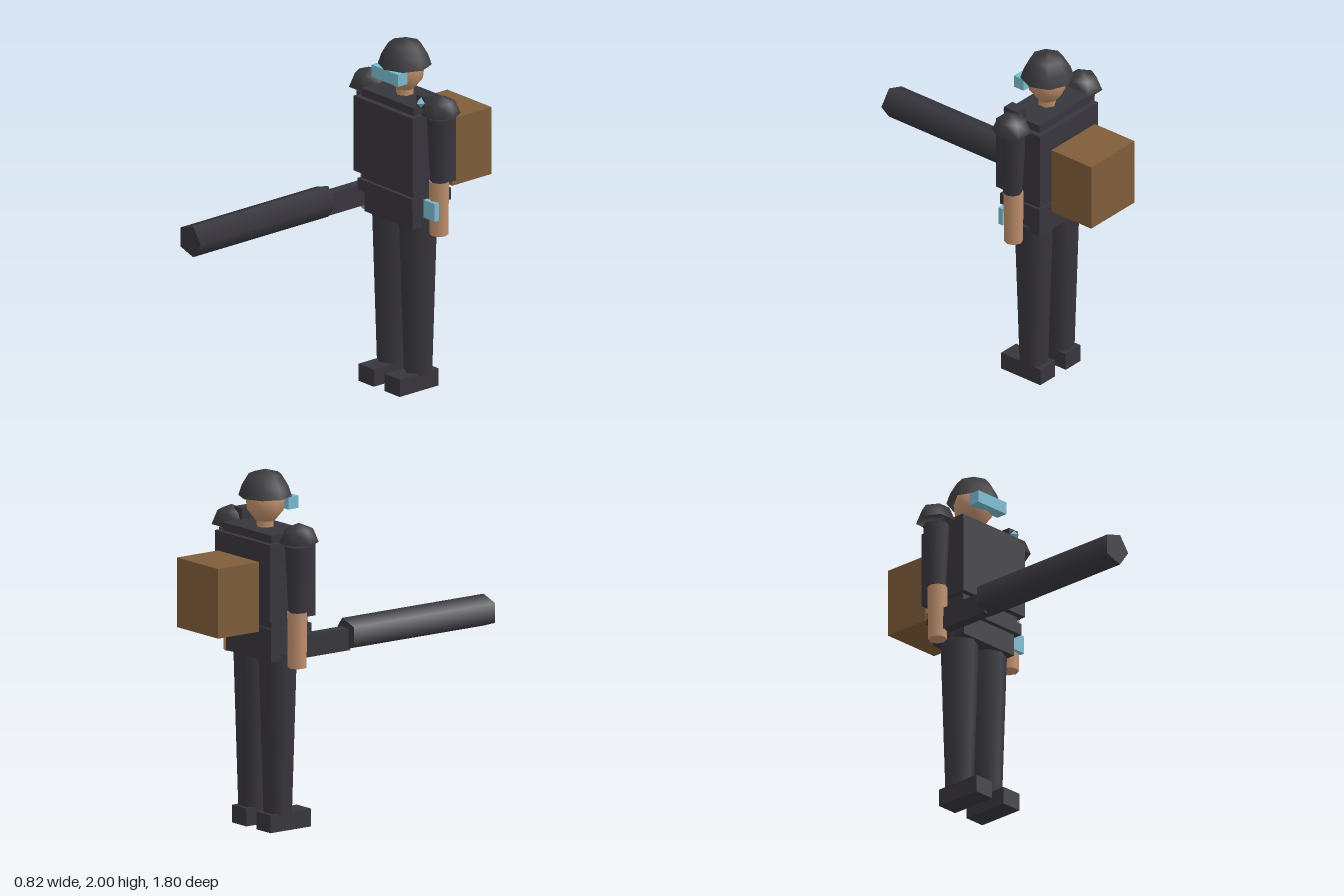
import * as THREE from 'three';

const mat = (name, color, side = THREE.FrontSide) => {
  const m = new THREE.MeshStandardMaterial({ color, side });
  m.name = name;
  return m;
};

export function createModel() {
  const root = new THREE.Group();
  root.name = 'armouredFigure';

  const armour = mat('armour charcoal', 0x38363d);
  const shell = mat('helmet charcoal', 0x3a3a3e, THREE.DoubleSide);
  const skin = mat('skin', 0xc08f6c);
  const glow = mat('cyan glass', 0x78bccf);
  const leather = mat('pack brown', 0x7f5d3a);
  const Z = -0.43; // depth of the body's axis

  const add = (name, geometry, material, x = 0, y = 0, z = 0) => {
    const mesh = new THREE.Mesh(geometry, material);
    mesh.name = name;
    mesh.position.set(x, y, z);
    root.add(mesh);
    return mesh;
  };
  // box given by its limits on each axis
  const box = (name, material, [x0, x1], [y0, y1], [z0, z1]) =>
    add(name, new THREE.BoxGeometry(x1 - x0, y1 - y0, z1 - z0), material,
      (x0 + x1) / 2, (y0 + y1) / 2, (z0 + z1) / 2);
  // upright tapered limb between two heights
  const limb = (name, material, x, y0, y1, rBottom, rTop, sides) =>
    add(name, new THREE.CylinderGeometry(rTop, rBottom, y1 - y0, sides), material, x, (y0 + y1) / 2, Z);
  const lathe = (name, material, points, sides) =>
    add(name, new THREE.LatheGeometry(points.map(([r, y]) => new THREE.Vector2(r, y)), sides), material, 0, 0, Z);

  // head
  lathe('helmet', shell, [[0.148, 1.85], [0.128, 1.91], [0.09, 1.973], [0, 2]], 8);
  lathe('head', skin, [[0, 1.70], [0.055, 1.715], [0.1, 1.77], [0.108, 1.84], [0.08, 1.92], [0, 1.94]], 8);
  limb('neck', skin, 0, 1.66, 1.75, 0.05, 0.05, 6);
  box('visor', glow, [-0.11, 0.11], [1.78, 1.85], [-0.355, -0.285]);

  // trunk
  box('torso', armour, [-0.215, 0.215], [1.15, 1.68], [-0.555, -0.305]);
  box('chestArmour', armour, [-0.245, 0.245], [1.2, 1.635], [-0.587, -0.272]);
  box('belt', armour, [-0.228, 0.228], [1.09, 1.157], [-0.568, -0.285]);
  box('hips', armour, [-0.2, 0.2], [0.965, 1.09], [-0.545, -0.312]);

  // arms, legs and feet on both sides
  for (const s of [-1, 1]) {
    const side = s > 0 ? 'left' : 'right';
    add(side + 'ShoulderPad',
      new THREE.SphereGeometry(0.11, 6, 2, 0, Math.PI * 2, 0, Math.PI / 2), shell, s * 0.3, 1.64, Z);
    limb(side + 'Sleeve', armour, s * 0.293, 1.25, 1.62, 0.053, 0.073, 8);
    limb(side + 'Forearm', skin, s * 0.285, 0.937, 1.25, 0.052, 0.055, 8);
    limb(side + 'Leg', armour, s * 0.112, 0.09, 1.0, 0.08, 0.108, 7);
    box(side + 'Foot', armour, [s * 0.108 - 0.063, s * 0.108 + 0.063], [0, 0.1], [-0.525, -0.245]);
  }

  // equipment
  box('backpack', leather, [-0.185, 0.183], [1.145, 1.535], [-0.9, -0.615]);
  box('wristScreen', glow, [0.236, 0.33], [1.037, 1.14], [-0.39, -0.36]);
  box('shoulderLamp', armour, [0.195, 0.265], [1.675, 1.745], [-0.44, -0.345]);
  add('lampLens', new THREE.OctahedronGeometry(0.031), glow, 0.235, 1.71, -0.345);

  // hand-held launcher, a five-sided barrel on a slim stock
  box('launcherStock', armour, [-0.292, -0.23], [0.985, 1.11], [-0.44, -0.07]);
  const barrel = new THREE.CylinderGeometry(0.094, 0.094, 0.98, 5);
  barrel.rotateY(Math.PI / 2).rotateX(Math.PI / 2);
  add('launcherBarrel', barrel, armour, -0.264, 1.068, 0.41);

  return root;
}
